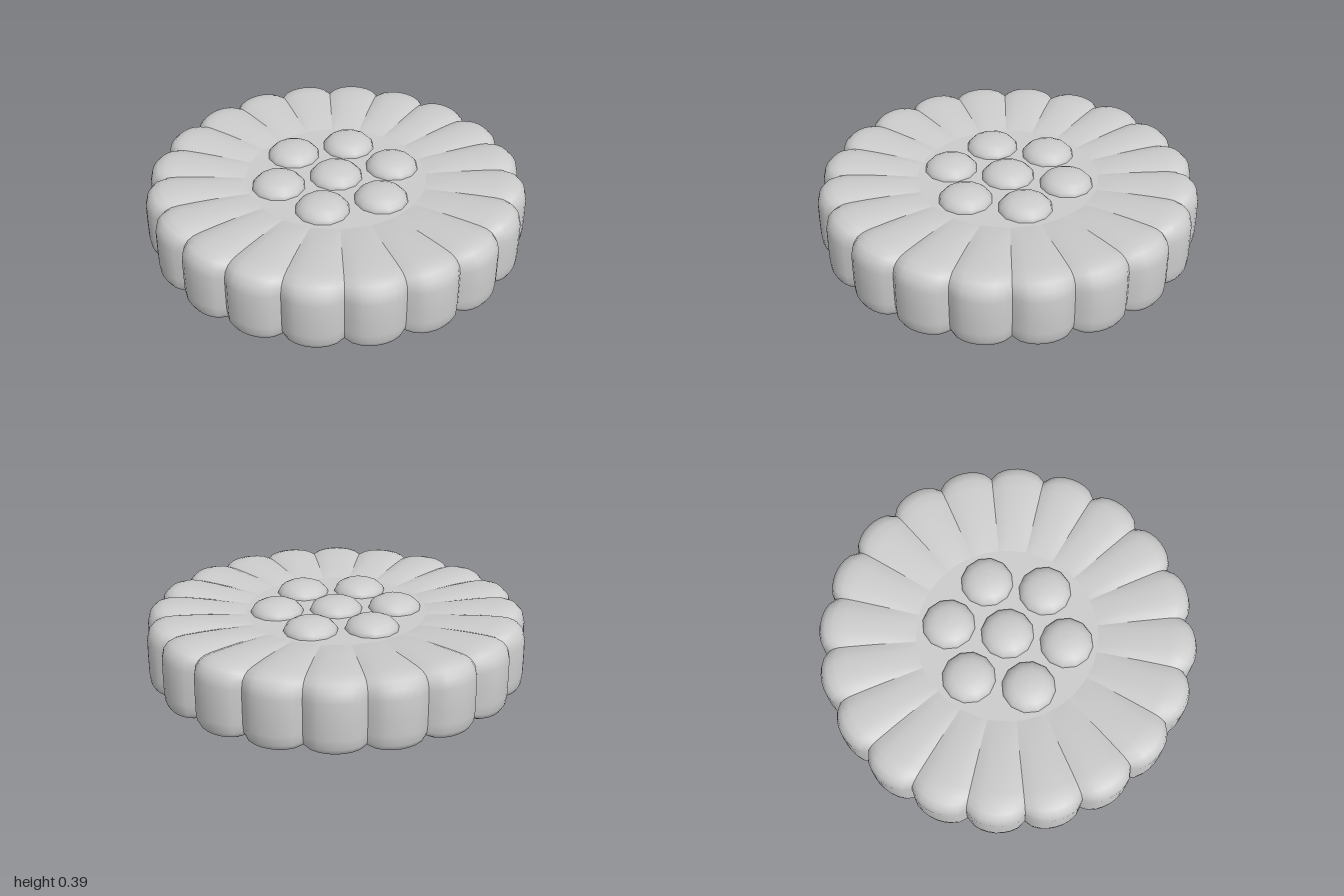
import * as THREE from 'three';

const PETALS = 20;
const material = new THREE.MeshStandardMaterial({ color: 0xcccccc, side: THREE.DoubleSide });

// Cross-section from the inner hole over the top and down the wall:
// [radius, height, radius lost at the groove, height lost at the groove]
const SECTION = [
  [0.475, 0.328, 0, 0.002],
  [0.54, 0.339, 0, 0.008],
  [0.64, 0.351, 0, 0.015],
  [0.75, 0.360, 0, 0.020],
  [0.85, 0.365, 0.01, 0.024],
  [0.91, 0.363, 0.03, 0.025],
  [0.955, 0.350, 0.045, 0.024],
  [0.985, 0.320, 0.053, 0.018],
  [0.998, 0.270, 0.057, 0.008],
  [1.0, 0.180, 0.058, 0],
  [1.0, 0.090, 0.058, 0],
  [0.995, 0.040, 0.058, -0.006],
  [0.98, 0.012, 0.055, -0.014],
  [0.955, 0.0, 0.05, -0.02],
];

// One petal as an open shell; its borders stay sharp where petals meet
function petalGeometry() {
  const steps = 8, half = Math.PI / PETALS;
  const pos = [], index = [];
  SECTION.forEach(([r, y, dr, dy]) => {
    for (let i = 0; i <= steps; i++) {
      const u = (i / steps) * 2 - 1;
      const groove = (1 - Math.sqrt(1 - 0.88 * u * u)) / (1 - Math.sqrt(0.12));
      const a = u * half, radius = r - dr * groove;
      pos.push(Math.sin(a) * radius, y - dy * groove, Math.cos(a) * radius);
    }
  });
  const w = steps + 1;
  for (let j = 0; j < SECTION.length - 1; j++) {
    for (let i = 0; i < steps; i++) {
      const a = j * w + i, b = a + 1, c = a + w, d = c + 1;
      index.push(a, c, b, b, c, d);
    }
  }
  const g = new THREE.BufferGeometry();
  g.setAttribute('position', new THREE.Float32BufferAttribute(pos, 3));
  g.setIndex(index);
  g.computeVertexNormals();
  return g;
}

export function createModel() {
  const model = new THREE.Group();
  model.name = 'flowerRosette';

  // Ring of petals
  const ring = new THREE.Group();
  ring.name = 'petalRing';
  const petal = petalGeometry();
  for (let i = 0; i < PETALS; i++) {
    const mesh = new THREE.Mesh(petal, material);
    mesh.name = 'petal';
    mesh.rotation.y = (i * 2 * Math.PI) / PETALS;
    ring.add(mesh);
  }
  model.add(ring);

  // Square sheet that closes the middle
  const sheet = new THREE.Mesh(new THREE.PlaneGeometry(1.17, 1.17), material);
  sheet.name = 'centreSheet';
  sheet.rotation.x = -Math.PI / 2;
  sheet.position.y = 0.326;
  model.add(sheet);

  // Seven domes, open below the sheet
  const domes = new THREE.Group();
  domes.name = 'centreDomes';
  const profile = [[0.14, 0.28], [0.14, 0.325], [0.132, 0.346], [0.11, 0.367], [0.08, 0.381], [0.04, 0.389], [0, 0.391]]
    .map(([r, y]) => new THREE.Vector2(r, y));
  const domeGeometry = new THREE.LatheGeometry(profile, 12);
  for (let i = 0; i < 7; i++) {
    const dome = new THREE.Mesh(domeGeometry, material);
    dome.name = 'dome';
    if (i > 0) {
      const a = (i * Math.PI) / 3;
      dome.position.set(Math.sin(a) * 0.312, 0, Math.cos(a) * 0.312);
    }
    domes.add(dome);
  }
  model.add(domes);

  return model;
}
